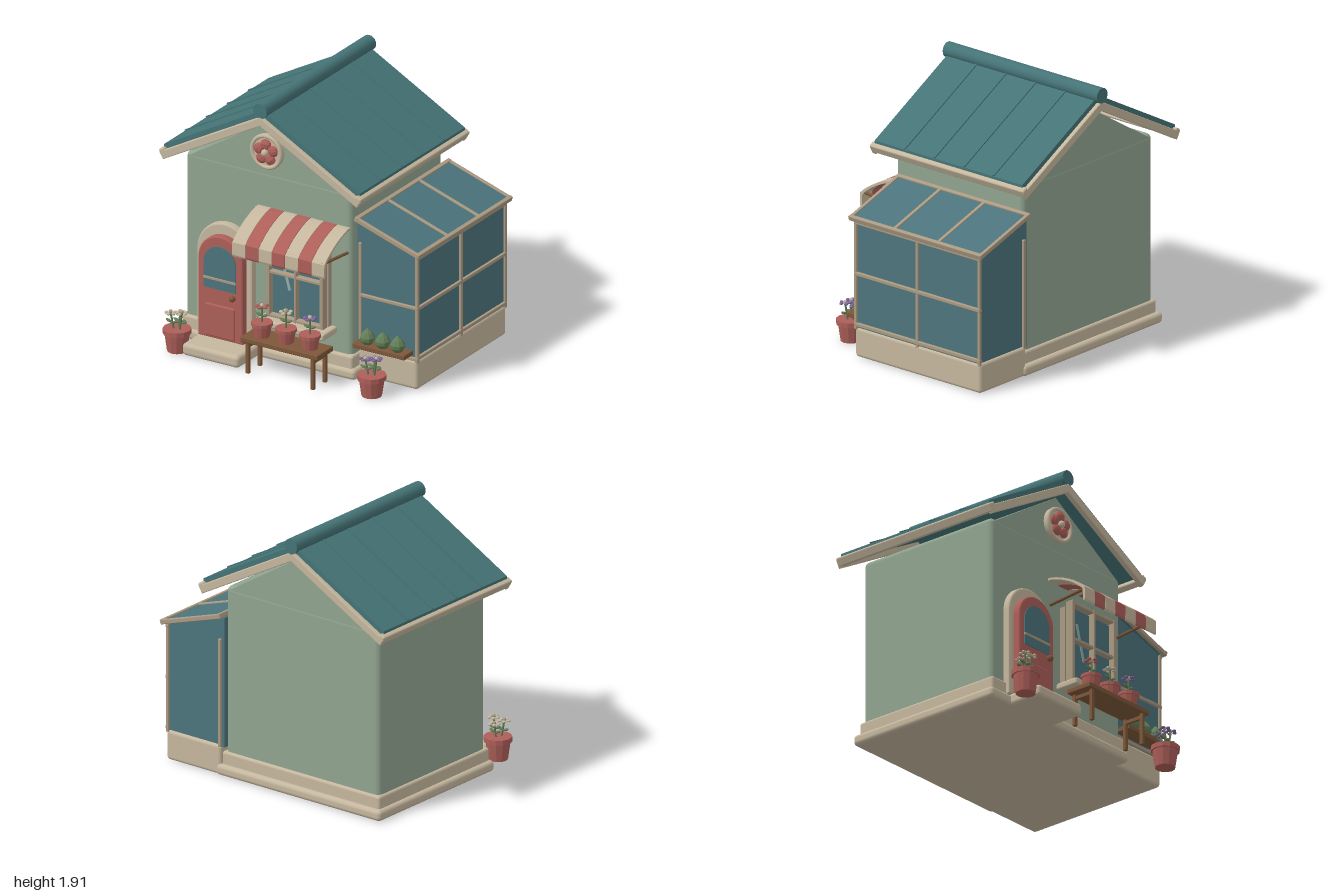
import * as THREE from 'three';
import { RoundedBoxGeometry } from 'three/addons/geometries/RoundedBoxGeometry.js';

const mat = (name, color) => {
  const m = new THREE.MeshStandardMaterial({ color });
  m.name = name;
  return m;
};

export function createModel() {
  const root = new THREE.Group();
  root.name = 'flowerShop';
  const wall = mat('sageWall', 0x90a490), cream = mat('creamTrim', 0xc5b79e), red = mat('dustyRed', 0xae5f59),
    teal = mat('tealRoof', 0x457376), glass = mat('tealGlass', 0x4c747c), brown = mat('brownWood', 0x7d5739),
    frame = mat('tanFrame', 0xaa9a82), leaf = mat('leafGreen', 0x627f58), purple = mat('purplePetal', 0x8164a0),
    shine = mat('glassShine', 0x92aeaa);
  const CX = -0.19; // centre line of the house

  const add = (name, geo, m, x = 0, y = 0, z = 0, parent = root) => {
    const mesh = new THREE.Mesh(geo, m);
    mesh.name = name;
    mesh.position.set(x, y, z);
    parent.add(mesh);
    return mesh;
  };
  // box given by its limits, with optional rounding
  const box = (name, m, x0, x1, y0, y1, z0, z1, r = 0, parent = root) => {
    const s = [x1 - x0, y1 - y0, z1 - z0];
    const g = r ? new RoundedBoxGeometry(...s, 3, r) : new THREE.BoxGeometry(...s);
    return add(name, g, m, (x0 + x1) / 2, (y0 + y1) / 2, (z0 + z1) / 2, parent);
  };
  const flat = (g) => {
    const f = g.index ? g.toNonIndexed() : g;
    f.computeVertexNormals();
    return f;
  };
  const poly = (pts) => new THREE.Shape(pts.map((p) => new THREE.Vector2(...p)));
  // outline in x and y, extruded from z0 to z1
  const slab = (name, m, shape, z0, z1, x = 0, bevel = 0) => {
    const g = new THREE.ExtrudeGeometry(shape, {
      depth: z1 - z0 - 2 * bevel, bevelEnabled: bevel > 0, bevelSize: bevel, bevelThickness: bevel,
      bevelOffset: -bevel, bevelSegments: 2, curveSegments: 20,
    });
    return add(name, g, m, x, 0, z0 + bevel);
  };
  const rod = (name, m, a, b, r, parent = root, sides = 8) => {
    const p = new THREE.Vector3(...a), q = new THREE.Vector3(...b), d = q.clone().sub(p);
    const mesh = add(name, new THREE.CylinderGeometry(r, r, d.length(), sides), m, 0, 0, 0, parent);
    mesh.position.copy(p.add(q).multiplyScalar(0.5));
    mesh.quaternion.setFromUnitVectors(new THREE.Vector3(0, 1, 0), d.normalize());
    return mesh;
  };
  const arch = (w, y0, spring) => {
    const s = new THREE.Shape();
    s.moveTo(-w, y0);
    s.lineTo(w, y0);
    s.lineTo(w, spring);
    s.absarc(0, spring, w, 0, Math.PI, false);
    s.lineTo(-w, y0);
    return s;
  };

  // plinth, walls and gable
  box('lowerPlinth', cream, -0.905, 0.525, 0, 0.08, -0.735, 0.51, 0.03);
  box('upperPlinth', cream, -0.875, 0.495, 0.03, 0.17, -0.7, 0.49, 0.02);
  box('walls', wall, -0.857, 0.477, 0.1, 1.37, -0.682, 0.466, 0.04);
  slab('gable', wall, poly([[-0.645, 1.337], [0.645, 1.337], [0, 1.74]]), -0.68, 0.464, CX);

  // roof
  slab('roofPanels', teal, poly([[0, 1.85], [-0.785, 1.42], [-0.785, 1.365], [0, 1.785], [0.785, 1.365], [0.785, 1.42]]), -0.775, 0.55, CX);
  const barge = poly([[0, 1.81], [-0.805, 1.37], [-0.775, 1.32], [0, 1.743], [0.775, 1.32], [0.805, 1.37]]);
  slab('frontBargeBoard', cream, barge, 0.54, 0.58, CX, 0.006);
  slab('backBargeBoard', cream, barge, -0.805, -0.765, CX, 0.006);
  const slope = Math.atan(0.547);
  for (const s of [-1, 1]) {
    const eave = add('eaveBeam', new RoundedBoxGeometry(0.05, 0.066, 1.385, 3, 0.012), cream, CX + s * 0.776, 1.368, -0.1125);
    eave.rotation.z = -s * slope;
    for (const z of [0.282, 0.016, -0.25, -0.514]) {
      const rib = add('roofSeam', new THREE.BoxGeometry(0.86, 0.014, 0.014), teal, CX + s * 0.405, 1.629, z);
      rib.rotation.z = -s * slope;
    }
  }
  rod('ridgeCap', teal, [CX, 1.853, -0.807], [CX, 1.853, 0.577], 0.055, root, 20);

  // flower emblem on the gable
  const emblem = new THREE.Group();
  emblem.name = 'gableFlower';
  emblem.position.set(CX, 1.525, 0.466);
  root.add(emblem);
  add('disc', new THREE.CylinderGeometry(0.125, 0.125, 0.04, 28), cream, 0, 0, 0.01, emblem).rotation.x = Math.PI / 2;
  add('rim', new THREE.TorusGeometry(0.115, 0.015, 8, 28), cream, 0, 0, 0.028, emblem);
  for (let i = 0; i < 5; i++) {
    const a = Math.PI / 2 + i * Math.PI * 0.4;
    const p = add('petal', flat(new THREE.SphereGeometry(0.041, 7, 6)), red, 0.058 * Math.cos(a), 0.058 * Math.sin(a), 0.036, emblem);
    p.scale.z = 0.6;
    p.rotation.z = a;
  }
  add('flowerCentre', new THREE.SphereGeometry(0.026, 10, 8), cream, 0, 0, 0.05, emblem);

  // arched door
  const DX = -0.512;
  slab('doorSurround', cream, arch(0.222, 0.08, 0.703), 0.44, 0.517, DX, 0.012);
  slab('door', red, arch(0.178, 0.09, 0.67), 0.5, 0.57, DX, 0.01);
  slab('doorWindow', glass, arch(0.128, 0.46, 0.647), 0.569, 0.577, DX);
  box('doorWindowBar', frame, DX - 0.13, DX + 0.13, 0.527, 0.543, 0.57, 0.585);
  box('doorPanel', red, DX - 0.12, DX + 0.12, 0.105, 0.345, 0.55, 0.58, 0.012);
  add('doorKnob', new THREE.SphereGeometry(0.023, 12, 10), brown, -0.4, 0.427, 0.595);
  box('doorStep', cream, -0.705, -0.25, 0, 0.09, 0.45, 0.757, 0.03);

  // shop window
  box('windowCasing', frame, -0.15, 0.315, 0.34, 0.93, 0.45, 0.51);
  box('windowGlass', glass, -0.135, 0.3, 0.36, 0.93, 0.5, 0.53);
  for (const x of [-0.13, 0.087, 0.298]) {
    const w = x === 0.087 ? 0.009 : 0.014;
    box('windowPost', frame, x - w, x + w, 0.34, 0.965, 0.515, 0.575, 0.005);
  }
  for (const y of [0.365, 0.685, 0.95]) box('windowRail', frame, -0.14, 0.31, y - 0.011, y + 0.011, 0.515, 0.57, 0.005);
  box('windowSill', cream, -0.185, 0.36, 0.305, 0.355, 0.46, 0.645, 0.015);
  const streak = box('windowShine', shine, -0.031, -0.009, 0.56, 0.83, 0.53, 0.534);
  streak.position.x = -0.015;
  streak.rotation.z = 0.27;

  // striped awning, its profile swept along x
  const aw = new THREE.Shape();
  aw.moveTo(0.465, 1.107);
  aw.lineTo(0.5, 1.105);
  aw.quadraticCurveTo(0.68, 1.06, 0.795, 0.95);
  aw.lineTo(0.797, 0.86);
  aw.lineTo(0.79, 0.845);
  aw.lineTo(0.78, 0.86);
  aw.lineTo(0.776, 0.94);
  aw.quadraticCurveTo(0.67, 1.045, 0.5, 1.09);
  aw.lineTo(0.465, 1.09);
  const sw = 0.74 / 7;
  for (let i = 0; i < 7; i++) {
    const g = new THREE.ExtrudeGeometry(aw, { depth: sw - 0.003, bevelEnabled: false, curveSegments: 8 });
    g.rotateY(-Math.PI / 2);
    add('awningStripe', g, i % 2 ? red : cream, -0.275 + (i + 1) * sw - 0.0015, 0, 0);
  }
  for (const x of [-0.25, 0.44]) rod('awningArm', brown, [x, 0.915, 0.45], [x, 0.948, 0.788], 0.011);

  // greenhouse lean-to
  box('greenhouseBase', cream, 0.49, 0.963, 0, 0.215, -0.72, 0.408, 0.025);
  slab('greenhouseGlass', glass, poly([[0.47, 0.2], [0.953, 0.2], [0.953, 0.99], [0.47, 1.14]]), -0.703, 0.398);
  const post = (x, z, y1 = 0.985) => box('greenhousePost', frame, x - 0.012, x + 0.012, 0.2, y1, z - 0.012, z + 0.012, 0.005);
  for (const z of [0.4, -0.15, -0.707]) post(0.957, z);
  for (const z of [0.4, -0.707]) post(0.503, z);
  for (const y of [0.235, 0.6, 0.97]) {
    box('greenhouseSideRail', frame, 0.945, 0.971, y - 0.013, y + 0.013, -0.72, 0.412, 0.005);
  }
  for (const y of [0.225, 0.6]) box('greenhouseFrontRail', frame, 0.495, 0.967, y - 0.012, y + 0.012, 0.39, 0.414, 0.005);
  const lean = new THREE.Group();
  lean.name = 'greenhouseRoof';
  lean.position.set(0.734, 1.078, -0.155);
  lean.rotation.z = -Math.atan(0.165 / 0.51);
  root.add(lean);
  box('roofGlass', glass, -0.26, 0.26, -0.01, 0.008, -0.58, 0.58, 0, lean);
  for (const z of [-0.58, -0.196, 0.198, 0.58]) box('roofBar', frame, -0.27, 0.27, -0.016, 0.018, z - 0.013, z + 0.013, 0.006, lean);
  for (const x of [-0.257, 0.257]) box('roofEdge', frame, x - 0.015, x + 0.015, -0.016, 0.02, -0.595, 0.595, 0.006, lean);

  // plant shelf with three shrubs
  box('plantShelf', brown, 0.508, 0.925, 0.25, 0.285, 0.4, 0.515, 0.006);
  for (const x of [0.6, 0.722, 0.842]) {
    const g = new THREE.LatheGeometry([[0, 0], [0.03, 0], [0.05, 0.03], [0.053, 0.055], [0.035, 0.085], [0, 0.12]]
      .map((p) => new THREE.Vector2(...p)), 8);
    add('shrub', flat(g), leaf, x, 0.28, 0.465);
  }

  // bench
  box('benchTop', brown, -0.215, 0.405, 0.227, 0.265, 0.585, 0.79, 0.008);
  for (const x of [-0.165, 0.355]) {
    for (const z of [0.615, 0.765]) box('benchLeg', brown, x - 0.012, x + 0.012, 0, 0.23, z - 0.012, z + 0.012);
    box('benchBrace', brown, x - 0.01, x + 0.01, 0.19, 0.215, 0.615, 0.765);
  }

  // potted flowers: stems are [x, height, z] offsets from the pot rim
  const pottedPlant = (name, x, y, z, r, h, m, stems, size) => {
    const g = new THREE.Group();
    g.name = name;
    g.position.set(x, y, z);
    root.add(g);
    add('pot', flat(new THREE.CylinderGeometry(r * 0.9, r * 0.7, h * 0.85, 12)), red, 0, h * 0.425, 0, g);
    add('potRim', flat(new THREE.CylinderGeometry(r, r, h * 0.22, 12)), red, 0, h * 0.89, 0, g);
    for (const [sx, sh, sz] of stems) {
      const top = h + sh;
      rod('stem', leaf, [sx * 0.5, h * 0.9, sz * 0.5], [sx, top, sz], 0.007, g, 6);
      for (const s of [-1, 1]) {
        const l = add('leaf', flat(new THREE.SphereGeometry(0.026, 6, 5)), leaf, sx * 0.8 + s * 0.026, h + sh * 0.45, sz * 0.8, g);
        l.scale.set(1, 0.35, 0.55);
        l.rotation.z = s * 0.4;
      }
      for (let i = 0; i < 5; i++) {
        const a = i * Math.PI * 0.4 + 0.3;
        const p = add('petal', flat(new THREE.SphereGeometry(size * 0.5, 7, 5)), m, sx + size * Math.cos(a), top, sz + size * Math.sin(a), g);
        p.scale.y = 0.6;
      }
      add('flowerCentre', new THREE.SphereGeometry(size * 0.45, 8, 6), m === cream ? frame : cream, sx, top + 0.006, sz, g);
    }
  };
  [red, cream, purple].forEach((m, i) => {
    pottedPlant('benchPot', -0.095 + i * 0.192, 0.265, 0.7, 0.075, 0.105, m, [[0, 0.115, 0]], 0.034);
  });
  const trio = [[-0.035, 0.115, 0.025], [0.045, 0.125, 0.01], [0, 0.1, -0.04]];
  pottedPlant('leftGroundPot', -0.775, 0, 0.7, 0.098, 0.165, cream, trio, 0.03);
  pottedPlant('rightGroundPot', 0.743, 0, 0.637, 0.1, 0.155, purple, trio, 0.03);

  return root;
}
